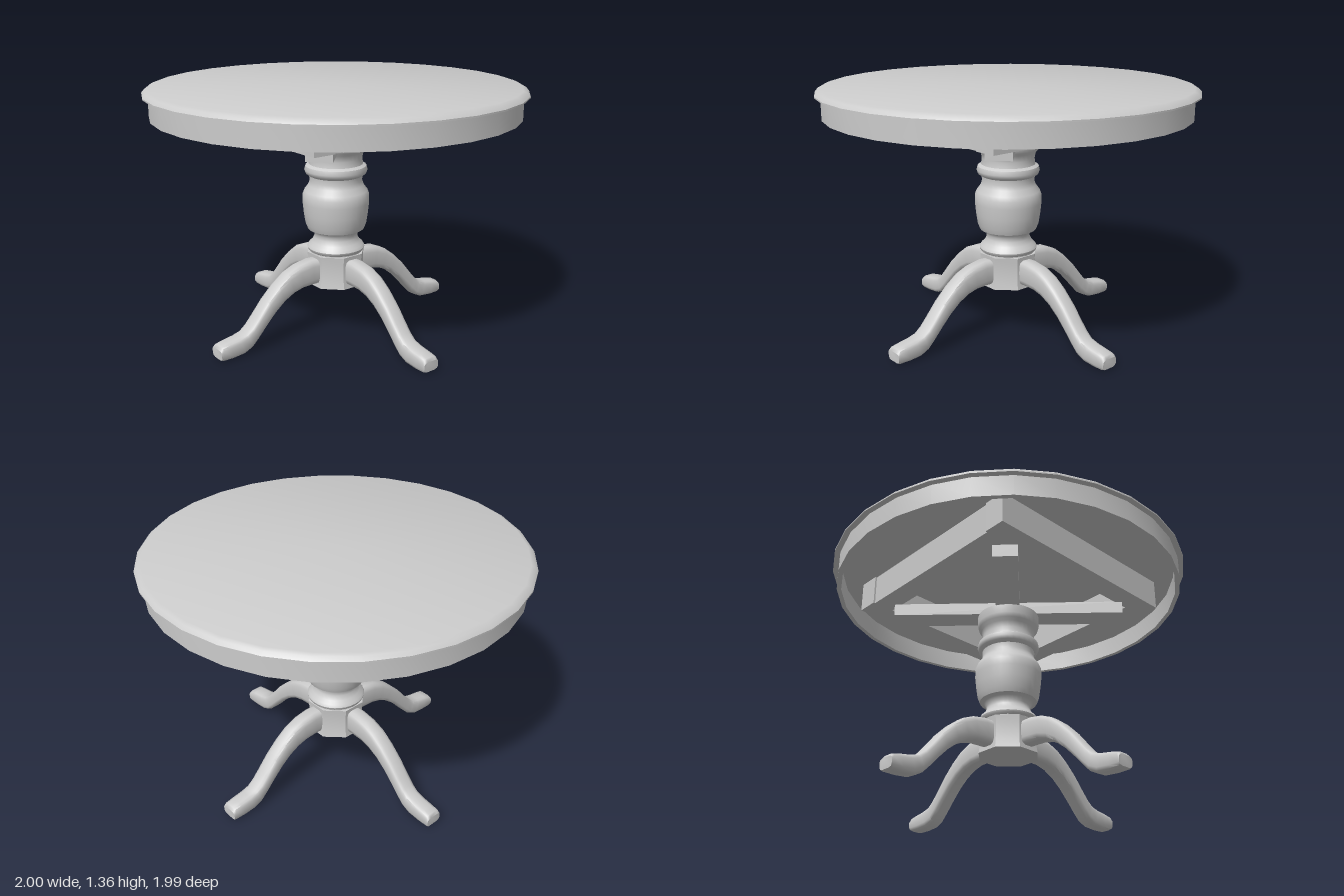
import * as THREE from 'three';
import { toCreasedNormals } from 'three/addons/utils/BufferGeometryUtils.js';

const material = new THREE.MeshStandardMaterial({ color: 0xcccccc });

function add(parent, name, geometry) {
  const mesh = new THREE.Mesh(geometry, material);
  mesh.name = name;
  parent.add(mesh);
  return mesh;
}

function lathe(points, segments, crease) {
  const profile = points.map(([r, y]) => new THREE.Vector2(r, y));
  return toCreasedNormals(new THREE.LatheGeometry(profile, segments), crease);
}

// Curved leg along +x: each section gives top x, y and bottom x, y
function legGeometry(sections, halfWidth) {
  const sides = 12, positions = [], index = [];
  for (const [tx, ty, bx, by] of sections) {
    for (let j = 0; j < sides; j++) {
      const a = ((j + 0.5) / sides) * Math.PI * 2;
      // rounded-square cross-section
      const soft = (v) => Math.sign(v) * Math.sqrt(Math.abs(v));
      const u = soft(Math.cos(a)), w = soft(Math.sin(a));
      positions.push(
        (tx + bx) / 2 + ((tx - bx) / 2) * u,
        (ty + by) / 2 + ((ty - by) / 2) * u,
        halfWidth * w);
    }
  }
  for (let i = 0; i < sections.length - 1; i++) {
    for (let j = 0; j < sides; j++) {
      const a = i * sides + j, b = i * sides + (j + 1) % sides;
      index.push(a, b, b + sides, a, b + sides, a + sides);
    }
  }
  // toe cap
  const last = (sections.length - 1) * sides;
  for (let j = 1; j < sides - 1; j++) index.push(last, last + j, last + j + 1);
  const geometry = new THREE.BufferGeometry();
  geometry.setAttribute('position', new THREE.Float32BufferAttribute(positions, 3));
  geometry.setIndex(index);
  return toCreasedNormals(geometry, 0.8);
}

export function createModel() {
  const table = new THREE.Group();
  table.name = 'pedestalTable';

  // Round top with bevelled rim and hollow apron
  const top = add(table, 'tableTop', lathe([
    [0, 1.325], [0.945, 1.325], [0.945, 1.21], [0.97, 1.21], [0.97, 1.325],
    [1, 1.325], [1, 1.333], [0.985, 1.35], [0.965, 1.358], [0, 1.358],
  ], 30, 0.6));
  top.rotation.y = Math.PI / 2;

  // Square frame of boards under the top
  const frame = new THREE.Group();
  frame.name = 'underFrame';
  table.add(frame);
  const boardWidth = 0.12, boardHeight = 0.17;
  for (const side of [-1, 1]) {
    add(frame, 'frameBoardX', new THREE.BoxGeometry(1.2, boardHeight, boardWidth))
      .position.set(0, 1.155 + boardHeight / 2, side * 0.53);
    add(frame, 'frameBoardZ', new THREE.BoxGeometry(boardWidth, boardHeight, 0.94))
      .position.set(side * 0.53, 1.155 + boardHeight / 2, 0);
  }

  // Diagonal cross bars between column and frame
  for (const side of [-1, 1]) {
    const bar = add(table, 'crossBar', new THREE.BoxGeometry(1.28, 0.07, 0.13));
    bar.position.y = 1.122;
    bar.rotation.y = side * Math.PI / 4;
  }

  // Turned column
  add(table, 'column', lathe([
    [0, 0.42], [0.145, 0.42], [0.145, 0.445], [0.155, 0.453], [0.158, 0.465], [0.15, 0.48],
    [0.132, 0.495], [0.12, 0.52], [0.118, 0.54], [0.132, 0.562], [0.155, 0.57],
    [0.167, 0.6], [0.176, 0.66], [0.182, 0.72], [0.182, 0.76], [0.172, 0.785],
    [0.15, 0.815], [0.142, 0.84], [0.145, 0.868], [0.164, 0.88], [0.171, 0.9],
    [0.165, 0.922], [0.147, 0.933], [0.142, 0.965], [0.15, 1], [0.165, 1.015],
    [0.172, 1.04], [0.172, 1.09], [0, 1.09],
  ], 32, 0.7));

  // Eight-sided hub that the legs join
  const hub = add(table, 'legHub', lathe([
    [0, 0.26], [0.166, 0.26], [0.16, 0.3], [0.157, 0.35], [0.158, 0.4], [0.162, 0.44], [0, 0.44],
  ], 8, 0.5));
  hub.rotation.y = Math.PI / 8;

  // Four sweeping legs
  const legShape = legGeometry([
    [0.12, 0.42, 0.12, 0.28], [0.19, 0.422, 0.18, 0.28], [0.27, 0.408, 0.25, 0.277],
    [0.34, 0.378, 0.31, 0.262], [0.41, 0.325, 0.37, 0.232], [0.48, 0.257, 0.43, 0.185],
    [0.54, 0.185, 0.49, 0.125], [0.58, 0.14, 0.54, 0.07], [0.615, 0.112, 0.58, 0.03],
    [0.66, 0.1, 0.63, 0.006], [0.72, 0.09, 0.7, 0], [0.762, 0.08, 0.762, 0.002],
    [0.775, 0.065, 0.772, 0.008],
  ], 0.048);
  for (let i = 0; i < 4; i++) {
    add(table, 'leg', legShape).rotation.y = i * Math.PI / 2;
  }
  return table;
}
